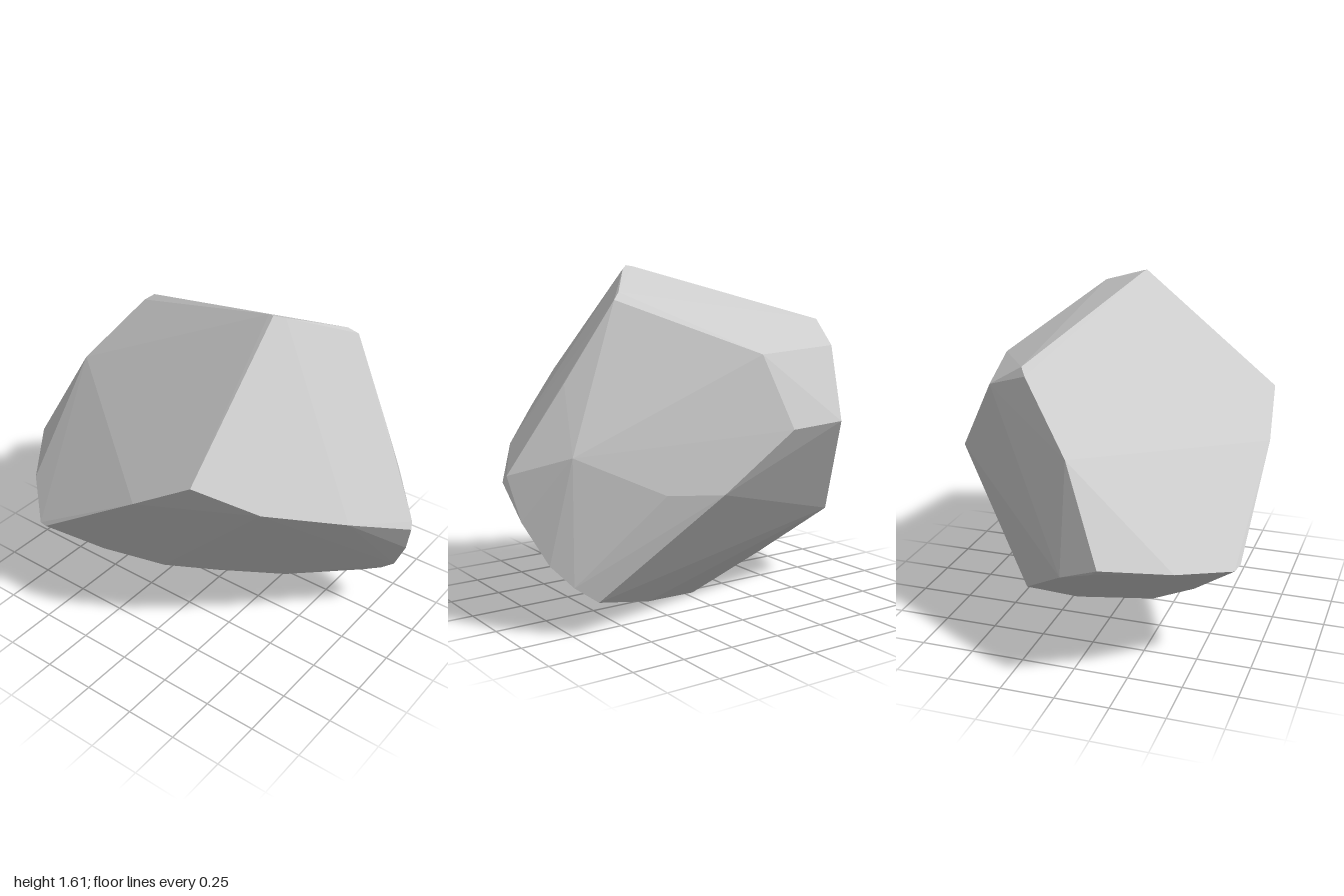
import * as THREE from 'three';
import { ConvexGeometry } from 'three/addons/geometries/ConvexGeometry.js';

// A faceted boulder: the convex skin around its corners and slightly bowed ridges.
export function createModel() {
  // Sloping crown, with a blunted peak
  const crown = [
    [0.3, 1.605, 0.01], [0.27, 1.6, 0.0], [0.34, 1.59, -0.03], [0.51, 1.5, -0.27], [0.55, 1.47, -0.3],
    [-0.02, 1.23, -0.6], [-0.55, 1.23, -0.45], [-0.61, 1.34, -0.27], [-0.65, 1.31, -0.24],
  ];
  // Front corner and the ridge running down from it on both sides
  const frontRidge = [
    [0.34, 1.07, 0.65], [0.57, 0.92, 0.46], [0.83, 0.81, 0.16],
    [0.05, 0.89, 0.69], [-0.52, 0.51, 0.69], [-0.57, 0.5, 0.675],
  ];
  // Left-hand tip of the front outline and its ridges
  const sideTip = [
    [-1, 0.63, 0.2], [-0.98, 0.6, 0.17], [-0.8, 0.56, 0.47], [-0.84, 1.03, 0.01], [-0.93, 0.54, 0.01],
  ];
  // Pointed end on the right
  const pointedEnd = [
    [1, 0.7, -0.11], [0.99, 0.73, -0.13], [0.76, 1.12, -0.23], [0.79, 0.82, -0.35],
    [0.95, 0.53, -0.18], [0.86, 0.34, -0.26], [0.77, 0.24, -0.31], [0.66, 0.16, -0.33],
  ];
  // Back facet
  const back = [
    [-0.13, 0.9, -0.69], [-0.46, 0.9, -0.63], [0.18, 0.63, -0.6], [0.42, 0.64, -0.51],
  ];
  // Keel underneath
  const keel = [
    [-0.04, 0, -0.04], [0.3, 0.055, -0.17], [-0.2, 0.11, 0.2],
    [-0.38, 0.29, 0.45], [-0.74, 0.37, -0.22], [-0.4, 0.17, -0.11],
  ];

  const points = [crown, frontRidge, sideTip, pointedEnd, back, keel]
    .flat()
    .map((p) => new THREE.Vector3(...p));

  const material = new THREE.MeshStandardMaterial({ color: 0xcccccc, flatShading: true });
  const boulder = new THREE.Mesh(new ConvexGeometry(points), material);
  boulder.name = 'boulder';

  const group = new THREE.Group();
  group.name = 'rock';
  group.add(boulder);
  return group;
}
